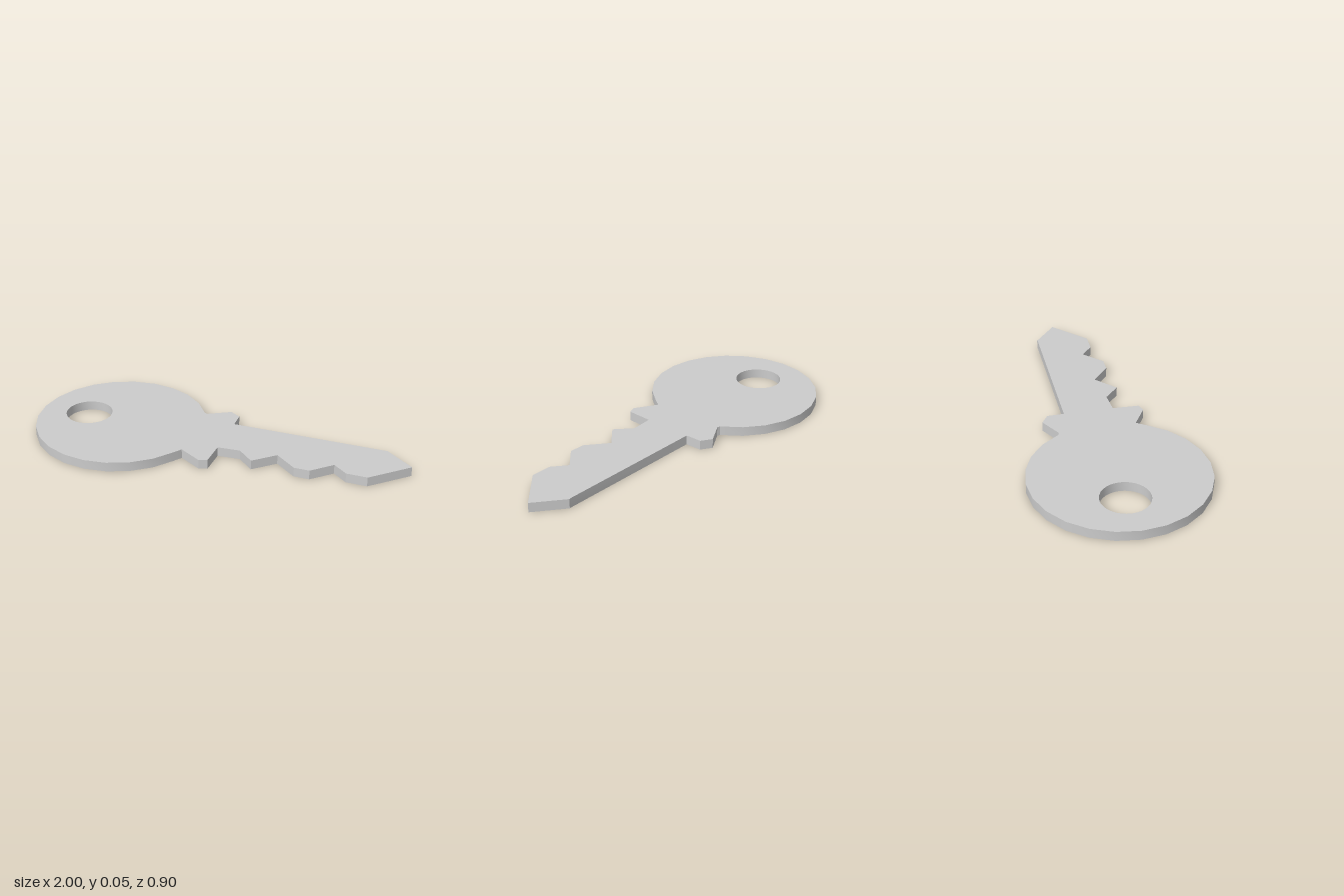
import * as THREE from 'three';
import { toCreasedNormals } from 'three/addons/utils/BufferGeometryUtils.js';

const THICKNESS = 0.05;
const BOW = { x: -0.55, radius: 0.45 };

export function createModel() {
  const group = new THREE.Group();
  group.name = 'key';

  // Outline is drawn in plan as [x, z], counter-clockwise seen from above
  const outline = [];

  // Round bow: 15 degree steps, open towards the blade
  for (let deg = 30; deg <= 330; deg += 15) {
    const a = THREE.MathUtils.degToRad(deg);
    outline.push([BOW.x + BOW.radius * Math.cos(a), -BOW.radius * Math.sin(a)]);
  }

  // Front half of the collar
  outline.push([-0.13, 0.18], [-0.013, 0.248], [0.03, 0.233], [0.033, 0.097]);

  // Teeth along the front edge
  outline.push(
    [0.15, 0.088], [0.235, 0.163], [0.342, 0.065], [0.455, 0.153],
    [0.535, 0.153], [0.635, 0.057], [0.71, 0.116], [0.818, 0.116]
  );

  // Pointed tip and straight back edge
  outline.push([1, -0.055], [0.85, -0.17], [0.84, -0.168], [0.03, -0.163]);

  // Back half of the collar
  outline.push([0.027, -0.25], [-0.03, -0.285], [-0.143, -0.22]);

  const shape = new THREE.Shape(outline.map(([x, z]) => new THREE.Vector2(x, -z)));

  // Ring hole
  const hole = new THREE.Path();
  hole.absarc(-0.745, 0.016, 0.123, 0, Math.PI * 2, true);
  shape.holes.push(hole);

  // Flat plate lying on the ground; rounded edges smooth, corners sharp
  const plate = new THREE.ExtrudeGeometry(shape, {
    depth: THICKNESS, bevelEnabled: false, curveSegments: 16
  });
  plate.rotateX(-Math.PI / 2);

  const mesh = new THREE.Mesh(
    toCreasedNormals(plate, THREE.MathUtils.degToRad(25)),
    new THREE.MeshStandardMaterial({ color: 0xcccccc })
  );
  mesh.name = 'keyPlate';
  group.add(mesh);
  return group;
}
